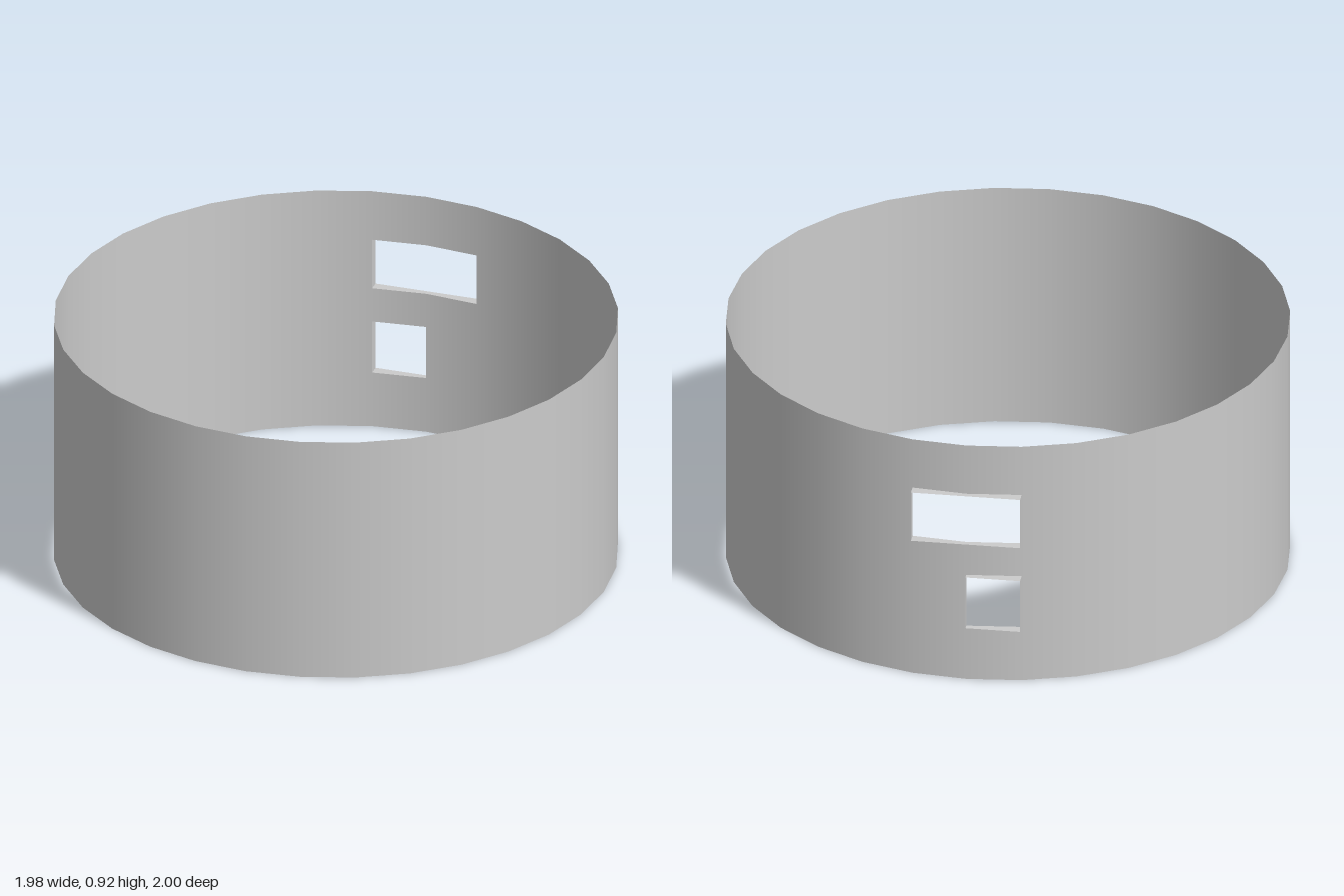
import * as THREE from 'three';

const R = 0.99, H = 0.92, CZ = 0.01, SIDES = 32, BACK_Z = -1;
const STEP = (Math.PI * 2) / SIDES;
const material = new THREE.MeshStandardMaterial({ color: 0xcccccc, side: THREE.DoubleSide });

// Window openings: facets counted from the back centre line, and heights
const WINDOWS = [
  { name: 'upperWindowFrame', from: -1, to: 1, y0: 0.54, y1: 0.73 },
  { name: 'lowerWindowFrame', from: 0, to: 1, y0: 0.21, y1: 0.41 },
];

// Point on the wall, n facets from the back centre line (positive towards -x)
const wallPoint = (n) => {
  const a = Math.PI + n * STEP;
  return { x: R * Math.sin(a), z: CZ + R * Math.cos(a) };
};

// Curved piece of wall covering facets from..to and heights y0..y1
function wallPiece(name, from, to, y0, y1) {
  const geometry = new THREE.CylinderGeometry(
    R, R, y1 - y0, to - from, 1, true, Math.PI + from * STEP, (to - from) * STEP);
  geometry.translate(0, (y0 + y1) / 2, CZ);
  const mesh = new THREE.Mesh(geometry, material);
  mesh.name = name;
  return mesh;
}

// Thin reveal running from the wall out to a flat plane behind it
function windowFrame({ name, from, to, y0, y1 }) {
  const loop = [];
  for (let n = from; n <= to; n++) loop.push({ ...wallPoint(n), y: y0 });
  for (let n = to; n >= from; n--) loop.push({ ...wallPoint(n), y: y1 });

  const positions = [];
  loop.forEach((p, i) => {
    const q = loop[(i + 1) % loop.length];
    const a = [p.x, p.y, p.z], b = [q.x, q.y, q.z];
    const c = [q.x, q.y, BACK_Z], d = [p.x, p.y, BACK_Z];
    positions.push(...a, ...b, ...c, ...a, ...c, ...d);
  });
  const geometry = new THREE.BufferGeometry();
  geometry.setAttribute('position', new THREE.Float32BufferAttribute(positions, 3));
  geometry.computeVertexNormals();
  const mesh = new THREE.Mesh(geometry, material);
  mesh.name = name;
  return mesh;
}

export function createModel() {
  const model = new THREE.Group();
  model.name = 'ringWithWindows';

  // Ring wall, all but the two back facets
  const wall = new THREE.Group();
  wall.name = 'ringWall';
  wall.add(wallPiece('mainWall', 1, SIDES - 1, 0, H));

  // Back facets, split vertically around the openings
  for (const n of [-1, 0]) {
    let y = 0;
    const openings = WINDOWS.filter((w) => w.from <= n && n < w.to).sort((a, b) => a.y0 - b.y0);
    for (const w of openings) {
      wall.add(wallPiece('backWall', n, n + 1, y, w.y0));
      y = w.y1;
    }
    wall.add(wallPiece('backWall', n, n + 1, y, H));
  }
  model.add(wall);

  // Window reveals
  WINDOWS.forEach((w) => model.add(windowFrame(w)));
  return model;
}
